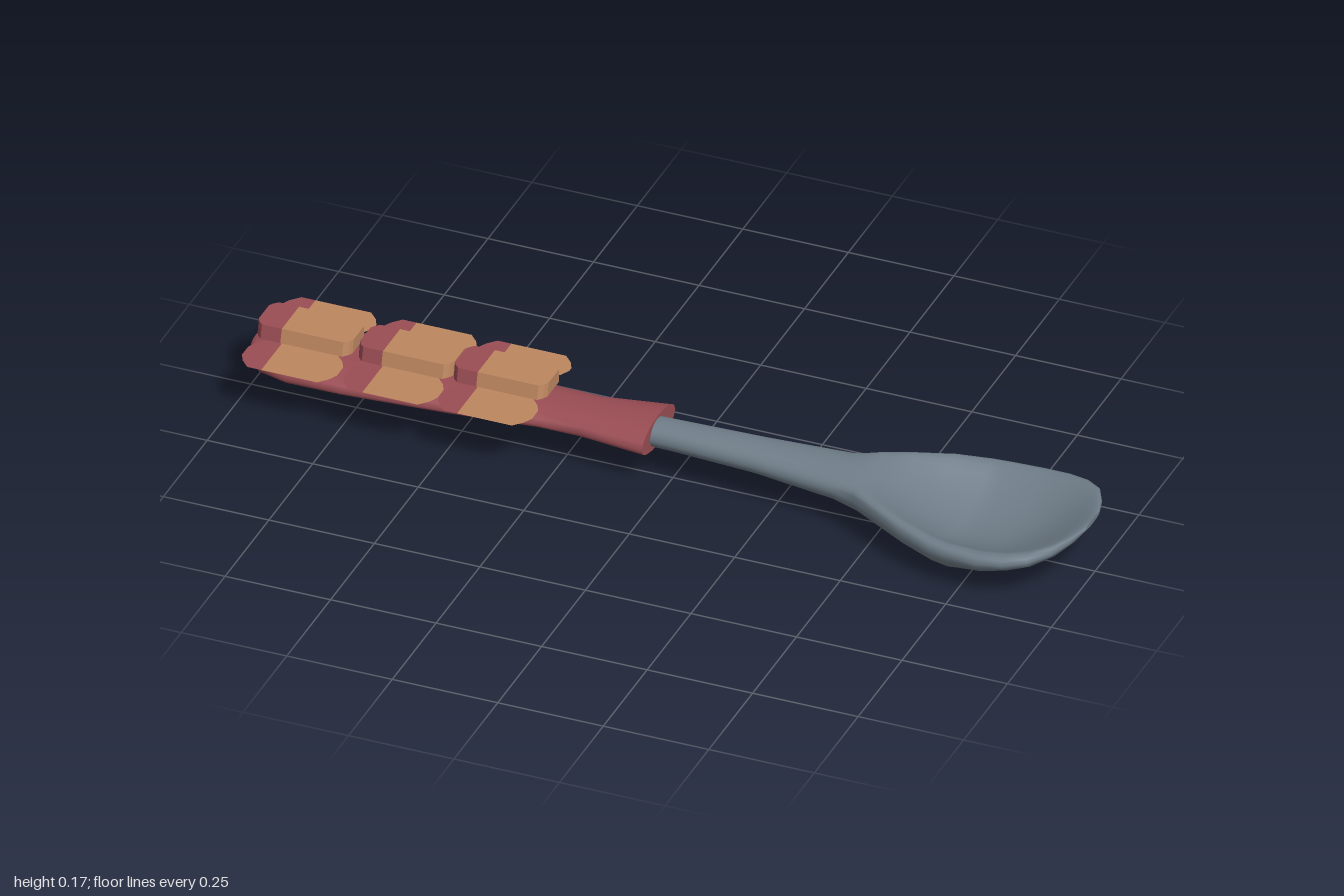
import * as THREE from 'three';

const material = (color) => new THREE.MeshStandardMaterial({ color, side: THREE.DoubleSide });
const steel = material(0x6f7d88), red = material(0x9a4d54), tan = material(0xbd8660);

// Skin over cross-sections along x; each ring is a list of [z, y]. Ends are capped flat.
function loft(xs, rings) {
  const n = rings[0].length, pos = [], idx = [];
  rings.forEach((ring, i) => ring.forEach(([z, y]) => pos.push(xs[i], y, z)));
  for (let i = 0; i < rings.length - 1; i++) {
    for (let j = 0; j < n; j++) {
      const a = i * n + j, b = i * n + (j + 1) % n;
      idx.push(a, a + n, b, b, a + n, b + n);
    }
  }
  for (const i of [0, rings.length - 1]) {
    const base = pos.length / 3;
    let cz = 0, cy = 0;
    rings[i].forEach(([z, y]) => { pos.push(xs[i], y, z); cz += z / n; cy += y / n; });
    pos.push(xs[i], cy, cz);
    for (let j = 0; j < n; j++) {
      const a = base + j, b = base + (j + 1) % n;
      if (i === 0) idx.push(base + n, a, b); else idx.push(base + n, b, a);
    }
  }
  const geo = new THREE.BufferGeometry();
  geo.setAttribute('position', new THREE.Float32BufferAttribute(pos, 3));
  geo.setIndex(idx);
  geo.computeVertexNormals();
  return geo;
}

// Station: [x, zMin, zMax, yBottom, ySide, yTop, dip]; the dip hollows the upper side.
function body(stations, sides) {
  const rings = stations.map(([, z0, z1, yb, ys, yt, dip = 0]) => {
    const ring = [];
    for (let j = 0; j < sides; j++) {
      const a = (j / sides) * Math.PI * 2, u = Math.cos(a), s = Math.sin(a);
      let y = s < 0 ? ys + (ys - yb) * s : ys + (yt - ys) * (dip ? Math.sqrt(s) : s);
      if (s > 0) y -= dip * Math.max(0, 1 - (u / 0.87) ** 2);
      ring.push([(z0 + z1) / 2 + u * (z1 - z0) / 2, y]);
    }
    return ring;
  });
  return loft(stations.map((s) => s[0]), rings);
}

// Flat outline on the ground plane from [x, z] corners
const outline = (pts) => new THREE.Shape(pts.map(([x, z]) => new THREE.Vector2(x, -z)));

// Tile with clipped corners, a red strip on its -x end and tan on the rest
function tile(name, x0, x1, z0, z1, y, height, c) {
  const group = new THREE.Group();
  group.name = name;
  const s = x0 + (x1 - x0) * 0.28, e = c * 0.7;
  const parts = [
    ['redStrip', red, [[s, z0], [x0 + c, z0], [x0 + e / 2, z0 + e], [x0, z0 + 2 * e],
      [x0, z1 - 2 * e], [x0 + e / 2, z1 - e], [x0 + c, z1], [s, z1]]],
    ['tanFace', tan, [[s, z1], [x1 - c, z1], [x1 - e / 2, z1 - e], [x1, z1 - 2 * e],
      [x1, z0 + 2 * e], [x1 - e / 2, z0 + e], [x1 - c, z0], [s, z0]]],
  ];
  for (const [label, mat, pts] of parts) {
    const shape = outline(pts);
    const geo = height
      ? new THREE.ExtrudeGeometry(shape, { depth: height, bevelEnabled: false })
      : new THREE.ShapeGeometry(shape);
    geo.rotateX(-Math.PI / 2);
    // Raised tiles taper towards the top
    const p = geo.attributes.position;
    for (let i = 0; height && i < p.count; i++) {
      if (p.getY(i) > height / 2) p.setZ(i, z0 + 0.003 + (p.getZ(i) - z0) * 0.89);
    }
    geo.translate(0, y, 0);
    geo.computeVertexNormals();
    const mesh = new THREE.Mesh(geo, mat);
    mesh.name = label;
    group.add(mesh);
  }
  return group;
}

export function createModel() {
  const model = new THREE.Group();
  model.name = 'spoon';

  // Metal neck flowing into the hollow bowl
  const spoon = new THREE.Mesh(body([
    [-0.1, -0.058, 0.022, 0.07, 0.1, 0.132],
    [0, -0.06, 0.024, 0.07, 0.1, 0.134],
    [0.2, -0.068, 0.036, 0.066, 0.1, 0.136],
    [0.4, -0.088, 0.06, 0.052, 0.098, 0.136],
    [0.46, -0.11, 0.08, 0.043, 0.098, 0.135, 0.008],
    [0.52, -0.143, 0.113, 0.033, 0.096, 0.13, 0.03],
    [0.6, -0.18, 0.155, 0.02, 0.092, 0.124, 0.055],
    [0.68, -0.202, 0.186, 0.006, 0.088, 0.118, 0.07],
    [0.72, -0.206, 0.195, 0.003, 0.088, 0.117, 0.074],
    [0.8, -0.207, 0.203, 0.025, 0.09, 0.119, 0.068],
    [0.86, -0.2, 0.196, 0.044, 0.095, 0.123, 0.055],
    [0.91, -0.182, 0.175, 0.06, 0.102, 0.128, 0.037],
    [0.95, -0.15, 0.132, 0.08, 0.11, 0.131, 0.018],
    [0.975, -0.1, 0.082, 0.1, 0.118, 0.131, 0.004],
    [0.99, -0.05, 0.03, 0.118, 0.124, 0.13],
  ], 40), steel);
  spoon.name = 'neckAndBowl';

  // Grip with a flared mouth
  const grip = new THREE.Mesh(body([
    [-1, -0.06, 0.005, 0.085, 0.1, 0.115],
    [-0.985, -0.098, 0.045, 0.077, 0.1, 0.123],
    [-0.95, -0.125, 0.08, 0.072, 0.1, 0.127],
    [-0.88, -0.14, 0.1, 0.07, 0.1, 0.129],
    [-0.75, -0.14, 0.1, 0.072, 0.1, 0.129],
    [-0.5, -0.12, 0.08, 0.074, 0.1, 0.129],
    [-0.3, -0.098, 0.056, 0.075, 0.1, 0.13],
    [-0.2, -0.094, 0.054, 0.073, 0.1, 0.132],
    [-0.045, -0.121, 0.07, 0.066, 0.1, 0.14],
  ], 16), red);
  grip.name = 'grip';
  model.add(spoon, grip);

  // Three stations of a raised tile between two thin side flaps
  for (const [x0, x1] of [[-0.985, -0.76], [-0.745, -0.522], [-0.52, -0.298]]) {
    model.add(
      tile('raisedTile', x0, x1, -0.089, 0.021, 0.14, 0.032, 0.016),
      tile('rightFlap', x0, x1, -0.18, -0.083, 0.134, 0, 0.03),
      tile('leftFlap', x0, x1, 0.01, 0.13, 0.134, 0, 0.03),
    );
  }
  return model;
}
